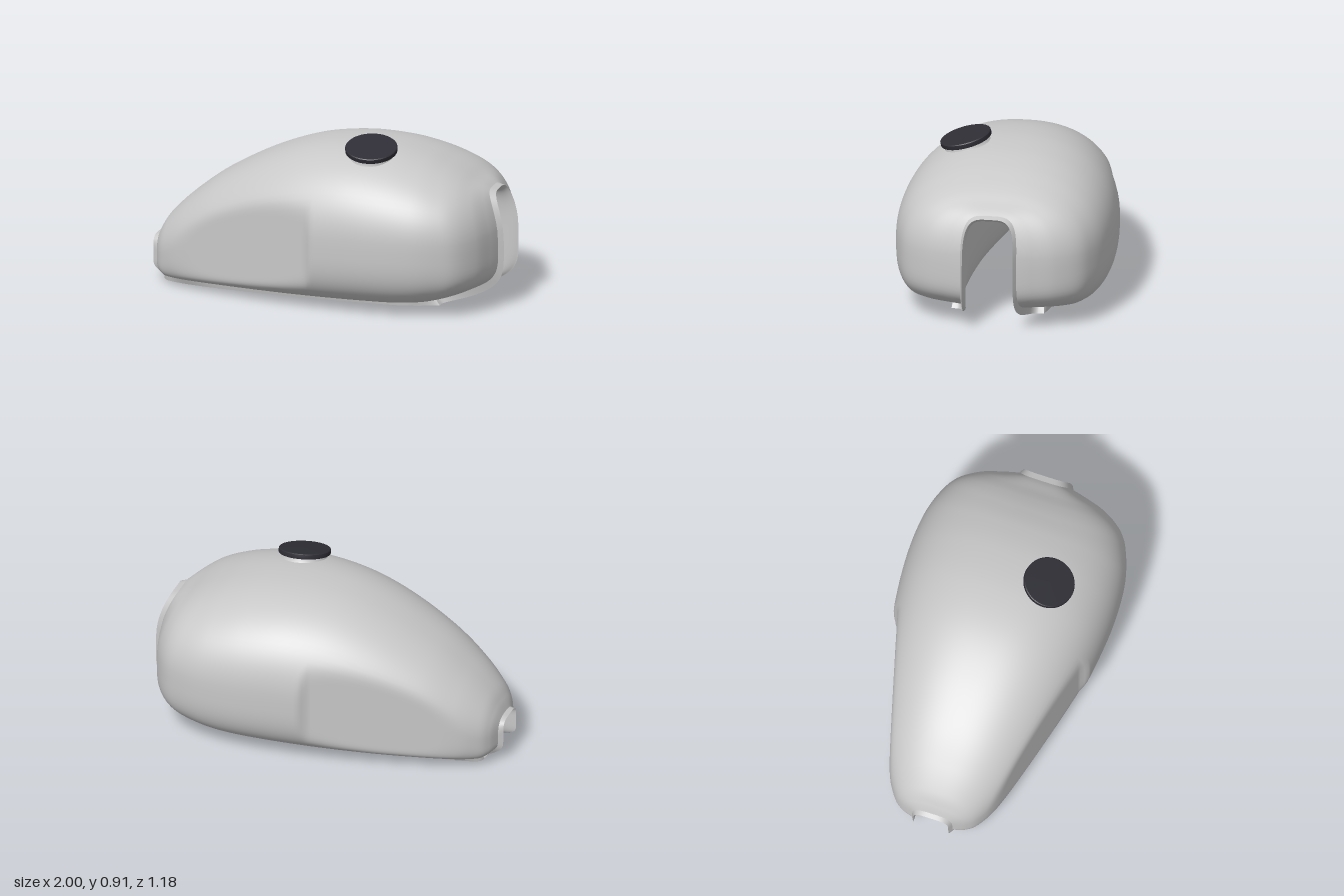
import * as THREE from 'three';

const RINGS = 168; // steps along the tank
const ARC = 22;    // steps per quarter of a cross-section

const smooth = (a, b, x) => {
  const t = Math.min(1, Math.max(0, (x - a) / (b - a)));
  return t * t * (3 - 2 * t);
};

// Catmull-Rom blend of every column of a key list
function sampleKeys(keys, s) {
  const f = s * (keys.length - 1);
  const i = Math.min(Math.floor(f), keys.length - 2);
  const t = f - i;
  const at = (k) => keys[Math.min(keys.length - 1, Math.max(0, k))];
  return keys[i].map((p1, c) => {
    const p0 = at(i - 1)[c], p2 = at(i + 1)[c], p3 = at(i + 2)[c];
    return p1 + 0.5 * t * (p2 - p0 + t * (2 * p0 - 5 * p1 + 4 * p2 - p3 + t * (3 * (p1 - p2) + p3 - p0)));
  });
}

// U-shaped ring, from the +z lower edge over the top to the -z lower edge
function makeRing(key, shape) {
  const [x, dxTop, dxBottom, width, yMid, top, bottom, zBottom, nUp, nLow] = key;
  const half = [];
  for (let j = -ARC; j <= ARC; j++) {
    const a = (Math.abs(j) / ARC) * Math.PI / 2;
    const n = j < 0 ? nLow : nUp;
    const c = j === -ARC || j === ARC ? 0 : Math.pow(Math.cos(a), 2 / n);
    const h = Math.pow(Math.sin(a), 2 / n);
    const p = j < 0
      ? new THREE.Vector3(x + dxBottom * h ** 5, yMid - (yMid - bottom) * h, zBottom + (width - zBottom) * c)
      : new THREE.Vector3(x + dxTop * h * h, yMid + (top - yMid) * h, width * c);
    if (shape) shape(p);
    half.push(p);
  }
  const mirrored = half.slice(0, -1).reverse().map((p) => new THREE.Vector3(p.x, p.y, -p.z));
  return half.concat(mirrored);
}

function makeRings(keys, shape) {
  return Array.from({ length: RINGS + 1 }, (_, i) => makeRing(sampleKeys(keys, i / RINGS), shape));
}

// Surface through rows of points
function skin(rows, flip) {
  const m = rows[0].length;
  const index = [];
  for (let i = 0; i < rows.length - 1; i++) {
    for (let j = 0; j < m - 1; j++) {
      const a = i * m + j, b = a + 1, c = a + m, d = c + 1;
      if (flip) index.push(a, c, b, b, c, d);
      else index.push(a, b, c, b, d, c);
    }
  }
  const geo = new THREE.BufferGeometry().setFromPoints(rows.flat());
  geo.setIndex(index);
  geo.computeVertexNormals();
  return geo;
}

// Closed border of a ring grid: front mouth, one lower edge, rear mouth, other lower edge
function border(rings) {
  const last = rings[0].length - 1;
  return [
    ...rings[0],
    ...rings.slice(1).map((r) => r[last]),
    ...rings[RINGS].slice(0, -1).reverse(),
    ...rings.slice(0, -1).reverse().map((r) => r[0]),
  ];
}

// Knee recesses: press the rear flanks softly onto a slanted plane
function kneeRecess(p) {
  const limit = 0.527 + 0.275 * p.x + 0.12 * smooth(-0.02, 0.09, p.x);
  const k = 0.02;
  const h = Math.max(k - Math.abs(p.z - limit), 0) / k;
  p.z = Math.min(p.z, limit) - h * h * k * 0.25;
}

// x, x shift at top, x shift at bottom, half width, mid y, top, bottom, lower edge z, upper and lower squareness
const bodyKeys = [
  [0.972, -0.072, -0.33, 0.155, 0.36, 0.643, 0.054, 0.25, 4, 4],
  [0.952, -0.082, -0.33, 0.235, 0.365, 0.664, 0.053, 0.26, 3.3, 3.5],
  [0.91, -0.09, -0.31, 0.36, 0.37, 0.693, 0.052, 0.268, 2.9, 3.2],
  [0.835, -0.083, -0.27, 0.47, 0.372, 0.734, 0.05, 0.275, 2.6, 3.1],
  [0.74, -0.07, -0.21, 0.53, 0.376, 0.773, 0.049, 0.28, 2.45, 3],
  [0.59, -0.04, -0.12, 0.575, 0.38, 0.817, 0.047, 0.28, 2.35, 3],
  [0.38, 0, 0, 0.59, 0.38, 0.853, 0.045, 0.28, 2.35, 3],
  [0.15, 0, 0, 0.576, 0.38, 0.866, 0.043, 0.28, 2.35, 3],
  [-0.1, 0, 0, 0.538, 0.36, 0.838, 0.042, 0.275, 2.3, 3],
  [-0.35, 0, 0, 0.48, 0.32, 0.753, 0.042, 0.26, 2.3, 3],
  [-0.6, 0, 0, 0.4, 0.27, 0.622, 0.042, 0.24, 2.3, 3],
  [-0.78, 0, 0, 0.32, 0.22, 0.489, 0.042, 0.225, 2.3, 3],
  [-0.9, 0, 0.02, 0.245, 0.17, 0.375, 0.042, 0.2, 2.3, 3],
  [-0.95, 0, 0.04, 0.185, 0.15, 0.3, 0.043, 0.185, 2.5, 3],
  [-0.975, 0, 0.07, 0.115, 0.14, 0.242, 0.045, 0.17, 3, 3],
];
const tunnelKeys = [
  [1, -0.065, -0.33, 0.14, 0.36, 0.633, 0.015, 0.255, 4, 4],
  [0.93, -0.04, -0.33, 0.134, 0.36, 0.612, 0.01, 0.265, 4, 4],
  [0.74, 0, -0.22, 0.16, 0.35, 0.625, 0.005, 0.272, 3.5, 3],
  [0.38, 0, 0, 0.195, 0.33, 0.62, 0, 0.272, 3, 2.5],
  [-0.1, 0, 0, 0.185, 0.29, 0.55, 0, 0.265, 3, 2.5],
  [-0.6, 0, 0, 0.125, 0.2, 0.34, 0.003, 0.23, 3.5, 3],
  [-0.9, 0, 0.03, 0.105, 0.14, 0.235, 0.012, 0.195, 4, 3.5],
  [-1, 0, 0.08, 0.1, 0.14, 0.233, 0.03, 0.165, 4, 4],
];

export function createModel() {
  const group = new THREE.Group();
  group.name = 'fuelTank';
  const steel = new THREE.MeshStandardMaterial({ color: 0xc8c8c8, side: THREE.DoubleSide });
  steel.name = 'bare steel';
  const black = new THREE.MeshStandardMaterial({ color: 0x2f2e36 });
  black.name = 'cap black';

  const add = (name, geometry, material, parent = group) => {
    const mesh = new THREE.Mesh(geometry, material);
    mesh.name = name;
    parent.add(mesh);
  };

  // Outer shell, frame tunnel, and the seam flange joining their borders
  const body = makeRings(bodyKeys, kneeRecess);
  const tunnel = makeRings(tunnelKeys);
  add('tankShell', skin(body, false), steel);
  add('frameTunnel', skin(tunnel, true), steel);
  add('seamFlange', skin([border(tunnel), border(body)], false), steel);

  // Filler neck and cap, tilted with the tank surface
  const filler = new THREE.Group();
  filler.name = 'filler';
  filler.position.set(0.28, 0.865, 0.245);
  filler.rotation.set(0.26, 0, -0.05);
  group.add(filler);
  const lathe = (points) => new THREE.LatheGeometry(points.map(([r, y]) => new THREE.Vector2(r, y)), 64);
  add('fillerNeck', lathe([[0.145, -0.065], [0.13, -0.045], [0.122, -0.03], [0.12, -0.01]]), steel, filler);
  const cap = lathe([[0, -0.016], [0.138, -0.016], [0.138, -0.016], [0.142, -0.012], [0.142, 0.009],
    [0.142, 0.009], [0.138, 0.013], [0.138, 0.013], [0, 0.014]]);
  add('fillerCap', cap, black, filler);

  return group;
}
